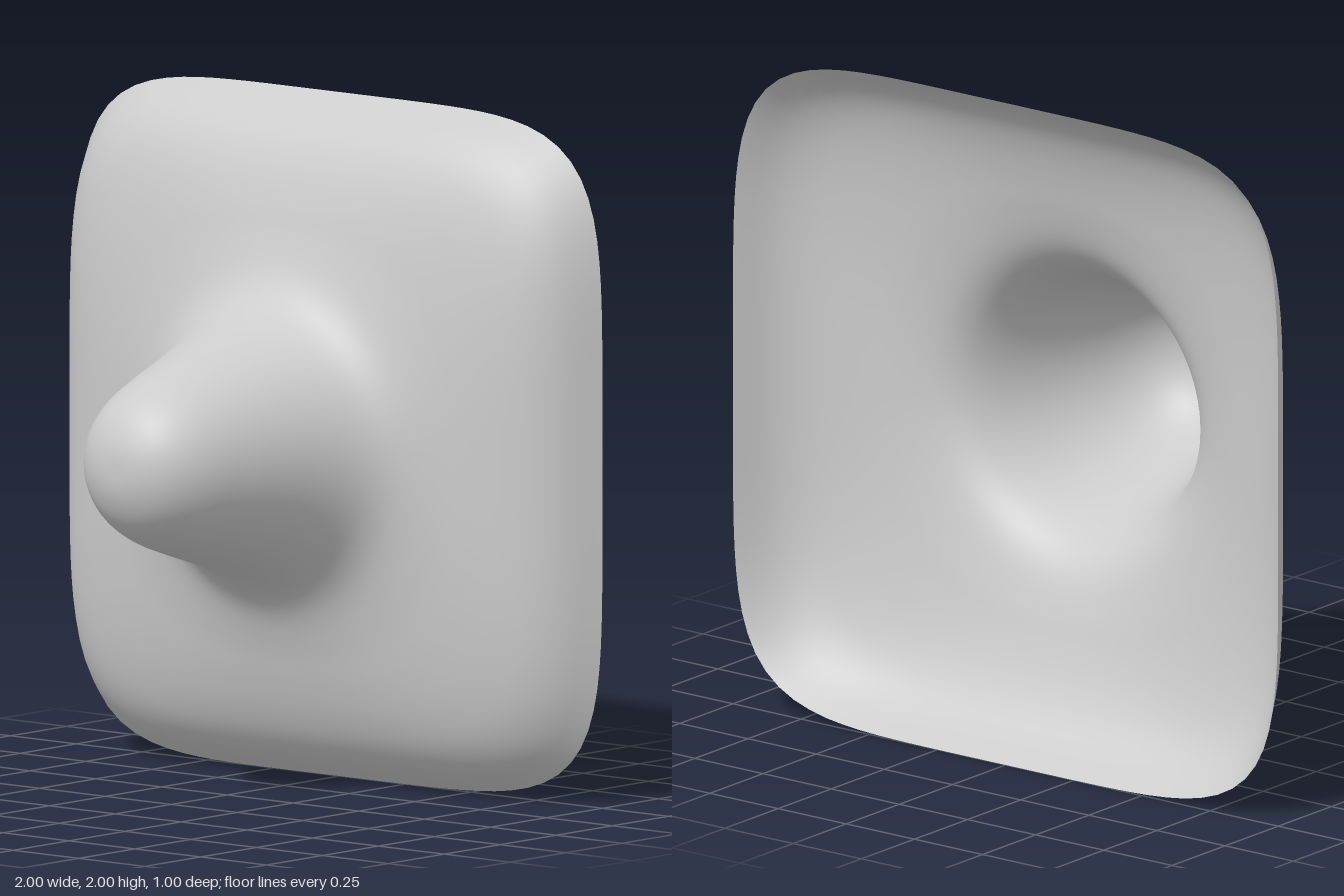
import * as THREE from 'three';

// Central profile from tip to rim: [half-width, z, squareness exponent]
const PROFILE = [
  [0, 0.5, 2], [0.05, 0.497, 2], [0.1, 0.483, 2], [0.155, 0.452, 2], [0.2, 0.405, 2],
  [0.24, 0.335, 2], [0.28, 0.225, 2], [0.315, 0.115, 2], [0.355, 0, 2],
  [0.395, -0.085, 2], [0.44, -0.145, 2], [0.5, -0.19, 2.1], [0.6, -0.23, 2.5],
  [0.7, -0.26, 3.1], [0.8, -0.297, 3.9], [0.88, -0.342, 4.6], [0.94, -0.4, 5], [1, -0.5, 5.4],
];
const ROWS = 64;
const SEGMENTS = 128;

// Open shell made of loops that change from circles to rounded squares
function shellGeometry() {
  const curve = new THREE.CatmullRomCurve3(PROFILE.map(([r, z, n]) => new THREE.Vector3(r, z, n * 0.1)), false, 'centripetal');
  const positions = [0, 1, 0.5];
  const index = [];
  for (let i = 1; i <= ROWS; i++) {
    const p = curve.getPoint(i / ROWS);
    const n = p.z * 10;
    for (let j = 0; j < SEGMENTS; j++) {
      const a = (j / SEGMENTS) * Math.PI * 2;
      const c = Math.cos(a), s = Math.sin(a);
      const r = p.x / Math.pow(Math.abs(c) ** n + Math.abs(s) ** n, 1 / n);
      positions.push(r * c, 1 + r * s, p.y);
    }
  }
  const at = (i, j) => 1 + i * SEGMENTS + (j % SEGMENTS);
  for (let j = 0; j < SEGMENTS; j++) {
    index.push(0, at(0, j), at(0, j + 1));
    for (let i = 0; i < ROWS - 1; i++) {
      index.push(at(i, j), at(i + 1, j), at(i + 1, j + 1));
      index.push(at(i, j), at(i + 1, j + 1), at(i, j + 1));
    }
  }
  const geometry = new THREE.BufferGeometry();
  geometry.setAttribute('position', new THREE.Float32BufferAttribute(positions, 3));
  geometry.setIndex(index);
  geometry.computeVertexNormals();
  return geometry;
}

export function createModel() {
  const group = new THREE.Group();
  const material = new THREE.MeshStandardMaterial({ color: 0xcccccc, side: THREE.DoubleSide });
  const shell = new THREE.Mesh(shellGeometry(), material);
  shell.name = 'domedShell';
  group.add(shell);
  return group;
}
